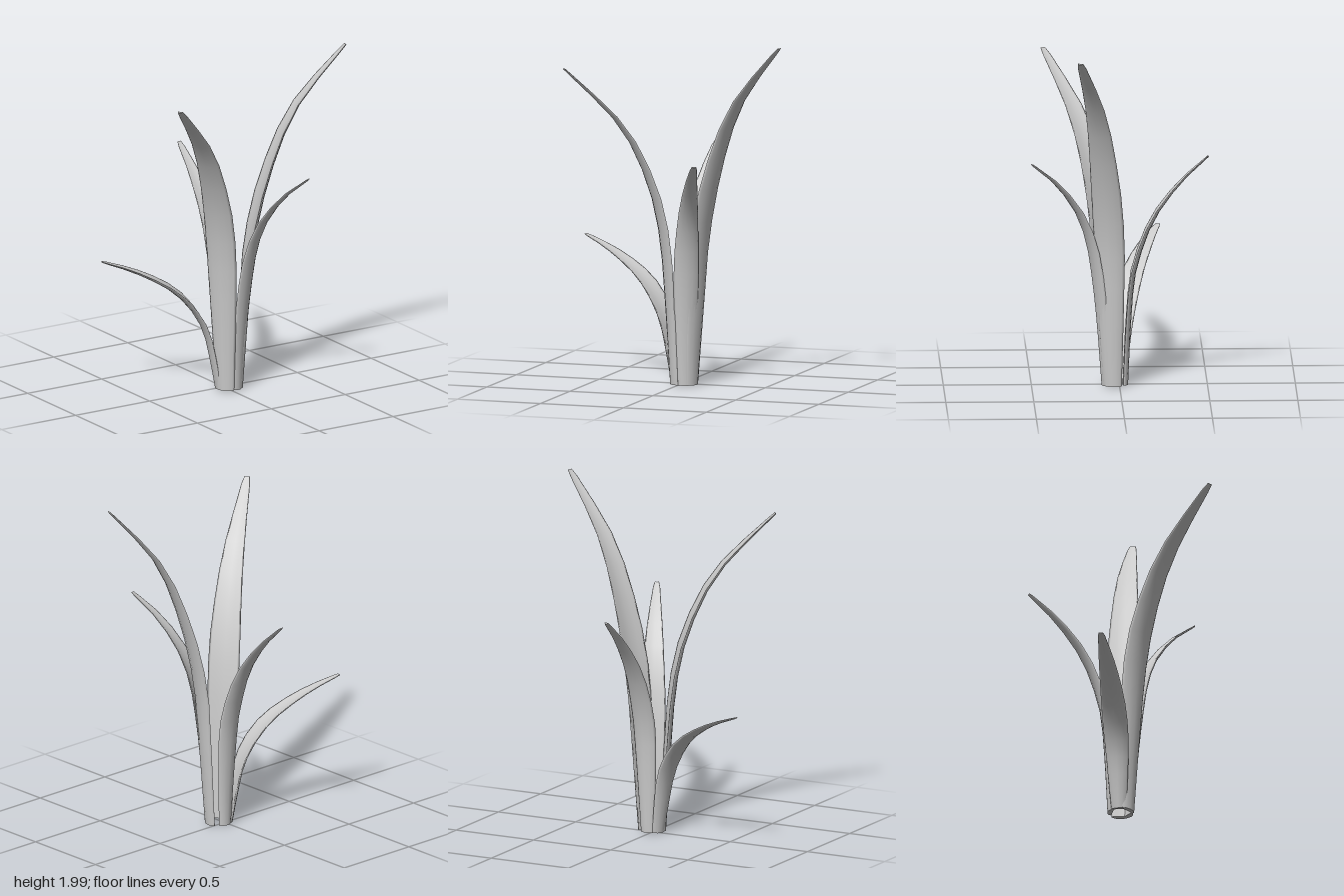
import * as THREE from 'three';

// Width along a leaf: [fraction of length, fraction of full width]
const WIDTHS = [[0, 0.6], [0.2, 0.82], [0.4, 1], [0.55, 0.95], [0.75, 0.7], [0.9, 0.42], [0.97, 0.3], [1, 0.17]];

// Each leaf: tip (x, z), full width, and its arc as [distance from the plant's middle, height]
const LEAVES = [
  { name: 'tallLeaf', tip: [0.67, 0.24], width: 0.185,
    arc: [[0.06, 0.01], [0.095, 0.5], [0.125, 0.85], [0.21, 1.22], [0.36, 1.6], [0.5, 1.79], [0.685, 1.995]] },
  { name: 'leftLeaf', tip: [-0.565, 0.42], width: 0.185,
    arc: [[0.06, 0.01], [0.09, 0.5], [0.115, 0.8], [0.16, 1.05], [0.27, 1.34], [0.38, 1.52], [0.53, 1.68], [0.705, 1.845]] },
  { name: 'backLeaf', tip: [0.027, -0.51], width: 0.145,
    arc: [[0.055, 0.01], [0.075, 0.4], [0.1, 0.65], [0.15, 0.82], [0.22, 0.98], [0.37, 1.18], [0.53, 1.33]] },
  { name: 'lowLeaf', tip: [-0.67, -0.24], width: 0.145,
    arc: [[0.06, 0.01], [0.095, 0.2], [0.135, 0.36], [0.2, 0.48], [0.3, 0.59], [0.44, 0.68], [0.58, 0.745], [0.735, 0.8]] },
  { name: 'frontLeaf', tip: [0.25, 0.505], width: 0.145,
    arc: [[0.06, 0.01], [0.09, 0.4], [0.12, 0.65], [0.16, 0.85], [0.23, 1.02], [0.37, 1.2], [0.53, 1.33]] },
];

const CENTRE = new THREE.Vector3(0.02, 0, 0.025);
const ROWS = 12, RING = 12;

function widthAt(t) {
  const i = Math.max(1, WIDTHS.findIndex(([u]) => u >= t - 1e-6));
  const [a, wa] = WIDTHS[i - 1], [b, wb] = WIDTHS[i];
  return THREE.MathUtils.mapLinear(t, a, b, wa, wb);
}

// Lofts a thin, gently channelled section along the arc
function leafGeometry({ tip, width, arc }) {
  const out = new THREE.Vector3(tip[0], 0, tip[1]).sub(CENTRE).normalize();
  const curve = new THREE.CatmullRomCurve3(
    arc.map(([r, y]) => CENTRE.clone().addScaledVector(out, r).setY(y)), false, 'centripetal');
  const positions = [], index = [];

  for (let i = 0; i <= ROWS; i++) {
    const t = i < ROWS ? (i / (ROWS - 1)) * 0.975 : 1;
    const p = curve.getPointAt(t), T = curve.getTangentAt(t);
    const N = out.clone().multiplyScalar(-T.y).setY(T.dot(out));
    const W = N.clone().cross(T);
    const half = width * widthAt(t) / 2;
    const thick = THREE.MathUtils.lerp(0.015, 0.004, t);
    const sag = half * 0.25;
    for (let j = 0; j < RING; j++) {
      const a = (j / RING) * Math.PI * 2, c = Math.cos(a);
      const v = p.clone().addScaledVector(W, half * c)
        .addScaledVector(N, thick * Math.sin(a) + sag * (c * c - 0.4));
      positions.push(v.x, Math.max(0, v.y), v.z);
    }
  }
  for (let i = 0; i < ROWS; i++) {
    for (let j = 0; j < RING; j++) {
      const k = (j + 1) % RING;
      const a = i * RING + j, b = i * RING + k, c = a + RING, d = b + RING;
      index.push(a, b, c, b, d, c);
    }
  }
  // Flat caps at the foot and tip, with their own vertices to keep the rims crisp
  for (const row of [0, ROWS]) {
    const first = positions.length / 3;
    positions.push(...positions.slice(row * RING * 3, (row + 1) * RING * 3));
    for (let j = 1; j < RING / 2; j++) {
      // Strips run across the leaf from one edge to the other
      const a = first + j - 1, b = first + j;
      const c = first + (RING - j + 1) % RING, d = first + RING - j;
      const quad = j === 1 ? [a, b, d] : [a, b, d, a, d, c];
      index.push(...(row ? quad : quad.reverse()));
    }
    const end = [first + RING / 2 - 1, first + RING / 2, first + RING / 2 + 1];
    index.push(...(row ? end : end.reverse()));
  }

  const geometry = new THREE.BufferGeometry();
  geometry.setAttribute('position', new THREE.Float32BufferAttribute(positions, 3));
  geometry.setIndex(index);
  geometry.computeVertexNormals();
  return geometry;
}

export function createModel() {
  const plant = new THREE.Group();
  plant.name = 'plant';
  const material = new THREE.MeshStandardMaterial({ color: 0xcccccc });
  for (const leaf of LEAVES) {
    const mesh = new THREE.Mesh(leafGeometry(leaf), material);
    mesh.name = leaf.name;
    plant.add(mesh);
  }
  return plant;
}
